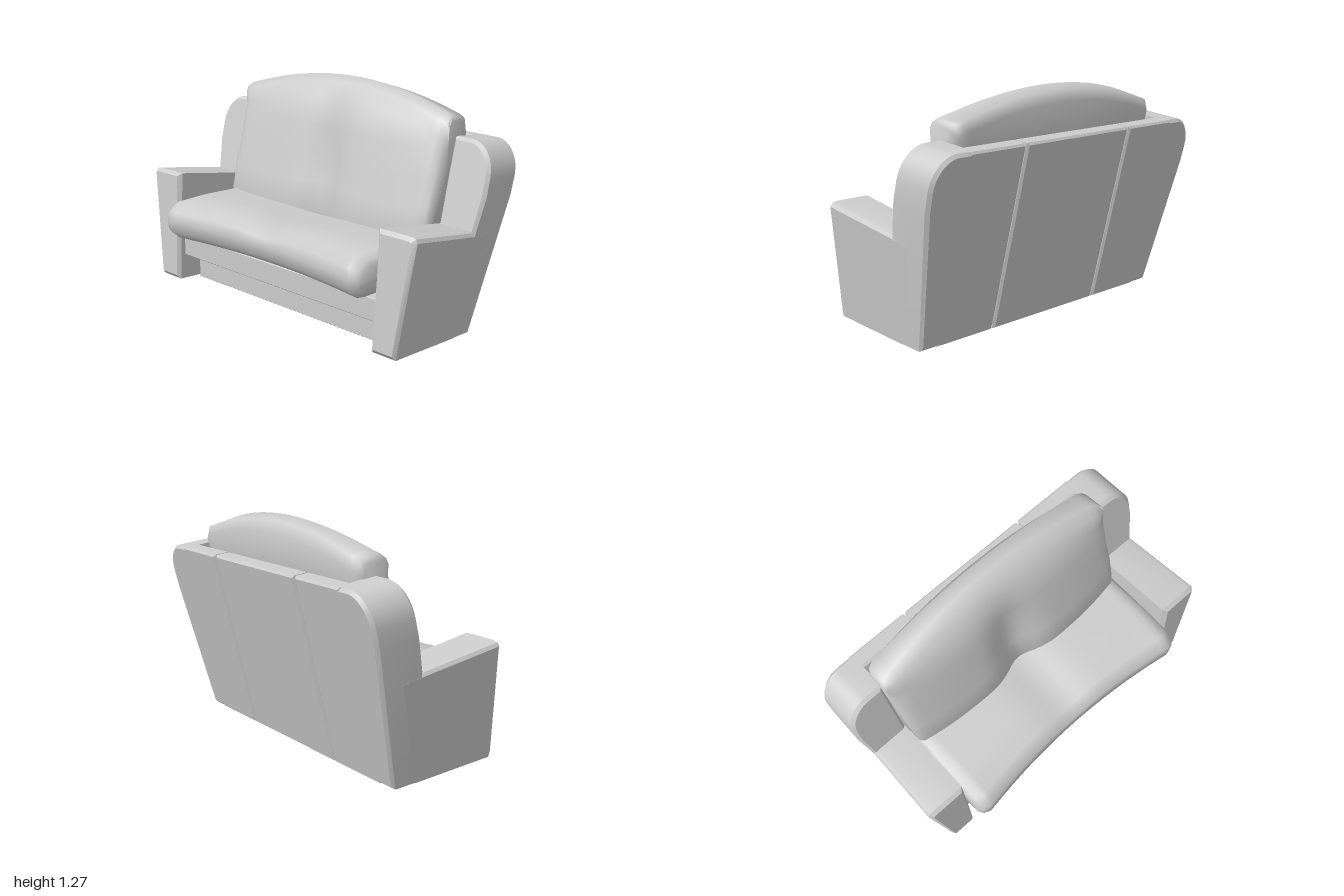
import * as THREE from 'three';
import { toCreasedNormals } from 'three/addons/utils/BufferGeometryUtils.js';

const material = new THREE.MeshStandardMaterial({ color: 0xcccccc });

function addMesh(group, name, geometry) {
  const mesh = new THREE.Mesh(geometry, material);
  mesh.name = name;
  group.add(mesh);
}

// Chamfered slab: x-y outline extruded from z0 to z1, then bent by a rule
function slab(points, z0, z1, bevel, rule) {
  const shape = new THREE.Shape(points.map(([x, y]) => new THREE.Vector2(x, y)));
  const geo = new THREE.ExtrudeGeometry(shape, {
    depth: z1 - z0 - 2 * bevel, bevelSize: bevel, bevelThickness: bevel,
    bevelOffset: -bevel, bevelSegments: 1,
  });
  geo.translate(0, 0, z0 + bevel);
  const p = geo.attributes.position;
  for (let i = 0; i < p.count; i++) p.setXYZ(i, ...rule(p.getX(i), p.getY(i), p.getZ(i)));
  return toCreasedNormals(geo, 0.5);
}

// The back leans: depth slides rearwards with height, top and bottom slope
function lean(x, y, z) {
  const zl = z - 0.24 * y;
  return [x, y + (zl + 0.23) * (0.07 + 0.05 * y / 1.05), zl];
}

// The arm front leans slightly, its hidden rear end follows the back,
// and its top falls towards the back
function armSlope(x, y, z) {
  const zl = z - (z > 0 ? 0.06 : 0.24) * y;
  return [x, y + (zl - 0.4) * (0.07 + 0.11 * y / 0.69), zl];
}

// Outer side wall shared by arm and wing: x = 1 in an outline becomes the wall
const flare = (rule) => (x, y, z) => {
  const [, yl, zl] = rule(x, y, z);
  const wall = 0.893 + 0.107 * Math.min(1, yl / 0.77);
  return [Math.sign(x) * (0.75 + (Math.abs(x) - 0.75) * (wall - 0.75) / 0.25), yl, zl];
};

// Soft cushion: closed [z, y] rings lofted along x, with flat end caps.
// The last rings are inset to round off the ends.
function cushion(ring, half, taper) {
  const stations = [[-half, 0.036], [-half + 0.02, 0.014]];
  const inner = half - 0.06, n = 40;
  for (let i = 0; i <= n; i++) stations.push([-inner + 2 * inner * i / n, 0]);
  stations.push([half - 0.02, 0.014], [half, 0.036]);

  const pos = [], index = [];
  let count = 0;
  for (const [x, inset] of stations) {
    const pts = ring(x);
    count = pts.length;
    const cz = pts.reduce((a, p) => a + p[0], 0) / count;
    const cy = pts.reduce((a, p) => a + p[1], 0) / count;
    const pull = (d) => d - Math.sign(d) * Math.min(Math.abs(d), inset);
    for (const [z, y] of pts) {
      const yy = cy + pull(y - cy);
      pos.push(x * taper(yy), yy, cz + pull(z - cz));
    }
  }
  const last = stations.length - 1;
  for (let i = 0; i < last; i++) {
    for (let j = 0; j < count; j++) {
      const a = i * count + j, b = i * count + (j + 1) % count;
      index.push(a, a + count, b, b, a + count, b + count);
    }
  }
  // End caps
  for (const row of [0, last]) {
    const c = [0, 0, 0], hub = pos.length / 3;
    for (let j = 0; j < count; j++) {
      for (let k = 0; k < 3; k++) c[k] += pos[(row * count + j) * 3 + k] / count;
    }
    pos.push(...c);
    for (let j = 0; j < count; j++) {
      const a = row * count + j, b = row * count + (j + 1) % count;
      if (row) index.push(hub, b, a); else index.push(hub, a, b);
    }
  }
  const geo = new THREE.BufferGeometry();
  geo.setAttribute('position', new THREE.Float32BufferAttribute(pos, 3));
  geo.setIndex(index);
  return toCreasedNormals(geo, 1.15);
}

const crease = (x) => Math.exp(-((x / 0.14) ** 2));

// Seat section: rolled front that bows inwards, shallow dip in the middle
function seatRing(x) {
  const bow = 0.06 * (1 - Math.min(1, (x / 0.68) ** 2));
  const dip = 0.028 * crease(x);
  return [
    [0.43 - bow, 0.33], [0.49 - bow, 0.38], [0.495 - bow, 0.44], [0.49 - bow, 0.5 - dip / 2],
    [0.425 - bow, 0.545 - dip], [0.2, 0.548 - dip], [-0.15, 0.53 - dip],
    [-0.15, 0.33], [0.2, 0.325],
  ];
}

// Back cushion section: arched top, two padded bulges with a crease between
function backRing(x) {
  const t = Math.min(1, (x / 0.69) ** 2);
  const top = 1.27 - 0.105 * t;
  const front = (w) => 0.167 - 0.07 * w * crease(x) - 0.035 * t * t;
  const pts = [
    [front(1) - 0.04, 0.44], [front(1), 0.52], [front(1), 0.68], [front(0.9), 0.85],
    [front(0.5), 1.0], [front(0.2) - 0.008, top - 0.11], [0.105 + 0.02 * t, top - 0.03],
    [0.053 + 0.022 * t, top], [-0.03 - 0.02 * t, top - 0.025], [-0.083, top - 0.085],
    [-0.09, 0.95], [-0.09, 0.7], [-0.09, 0.46], [-0.04, 0.42],
  ];
  return pts.map(([c, y]) => [c - 0.27 * y, y]);
}

export function createModel() {
  const model = new THREE.Group();
  model.name = 'sofa';

  for (const side of [1, -1]) {
    const label = side > 0 ? 'left' : 'right';
    const mirror = (pts) => pts.map(([x, y]) => [side * x, y]);

    // Arm block, widening upwards
    addMesh(model, label + 'Arm', slab(mirror([
      [0.75, 0.045], [1, 0.045], [1, 0.67], [0.985, 0.69], [0.96, 0.697], [0.75, 0.697],
    ]), -0.12, 0.405, 0.022, flare(armSlope)));

    // Tall wing behind the arm, with a rounded outer shoulder
    const wing = [[0.75, 0], [1, 0], [1, 0.77]];
    for (let i = 0; i <= 8; i++) {
      const a = i / 8 * Math.PI / 2;
      wing.push([0.85 + 0.15 * Math.cos(a), 0.87 + 0.18 * Math.sin(a)]);
    }
    wing.push([0.75, 1.05]);
    addMesh(model, label + 'Wing', slab(mirror(wing), -0.25, 0.01, 0.018, flare(lean)));

    // Outer back panel, running into the wing
    addMesh(model, label + 'BackPanel', slab(mirror([
      [0.405, 0], [0.785, 0], [0.785, 1.05], [0.405, 1.05],
    ]), -0.25, -0.15, 0.012, lean));
  }

  // Middle back panel and the core seen in the grooves
  const rect = (w, y0, y1) => [[-w, y0], [w, y0], [w, y1], [-w, y1]];
  addMesh(model, 'middleBackPanel', slab(rect(0.395, 0, 1.05), -0.25, -0.15, 0.012, lean));
  addMesh(model, 'backCore', slab(rect(0.76, 0.015, 1.035), -0.235, -0.152, 0.005, lean));

  // Seat deck with its front rail, and the kick board set back below it
  const flat = (x, y, z) => [x, y, z];
  addMesh(model, 'seatDeck', slab(rect(0.76, 0.185, 0.31), -0.25, 0.34, 0.004, flat));
  addMesh(model, 'kickBoard', slab(rect(0.73, 0.03, 0.16), 0.16, 0.25, 0.003, flat));
  addMesh(model, 'kickBoardTop', slab(rect(0.73, 0.15, 0.19), 0.16, 0.22, 0.003, flat));

  // Cushions
  addMesh(model, 'seatCushion', cushion(seatRing, 0.745, () => 1));
  addMesh(model, 'backCushion', cushion(backRing, 0.755, (y) => 0.945 + 0.055 * y));

  return model;
}
